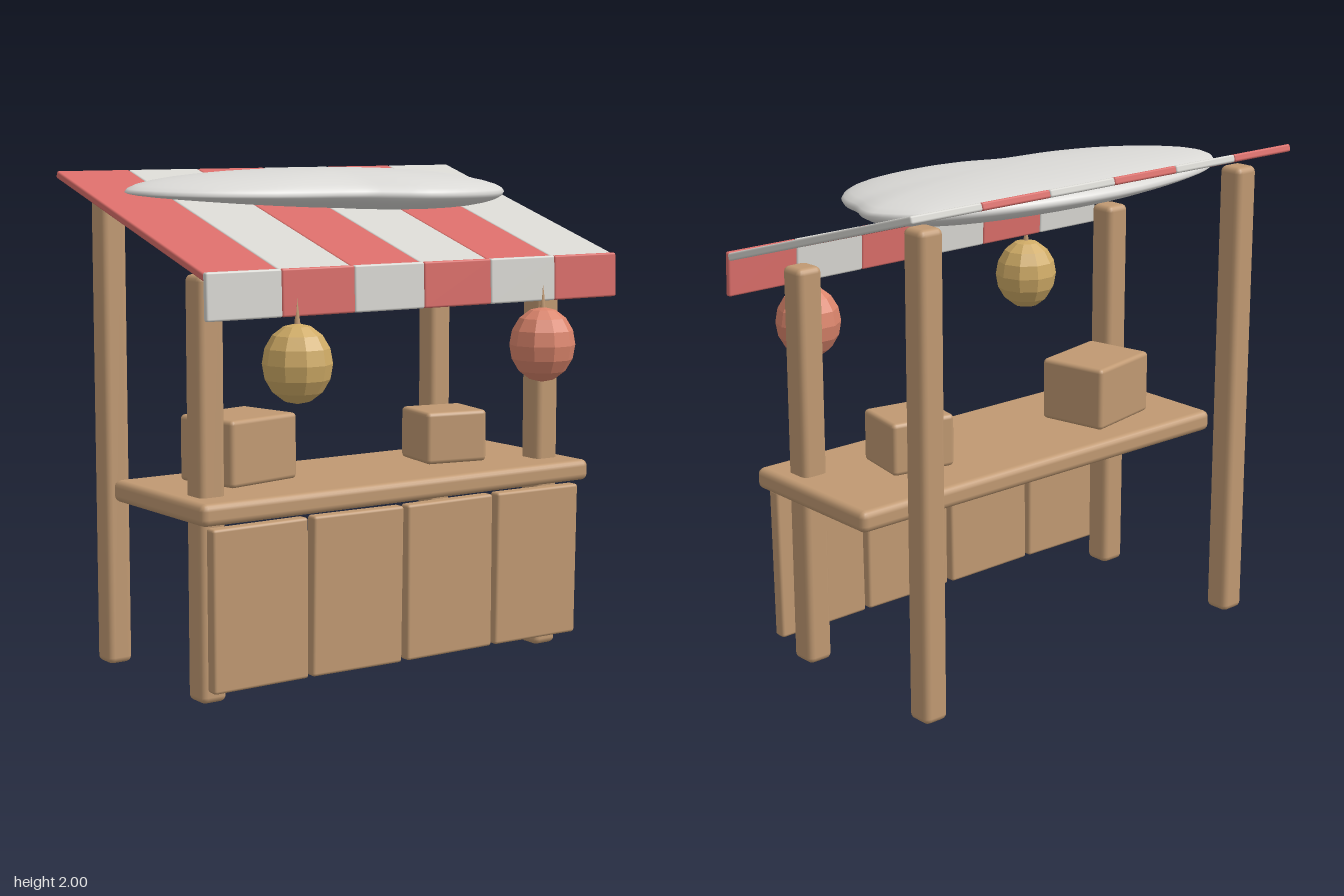
import * as THREE from 'three';
import { RoundedBoxGeometry } from 'three/addons/geometries/RoundedBoxGeometry.js';

function mat(name, color, extra = {}) {
  const m = new THREE.MeshStandardMaterial({ color, ...extra });
  m.name = name;
  return m;
}

// Closed blob: rings shrink from an outline towards its centre, domed above and below
function snowGeometry() {
  const outline = [
    [-0.855, -0.27], [-0.8, -0.14], [-0.65, -0.02], [-0.4, 0.07], [-0.1, 0.1], [0.02, 0.12],
    [0.12, 0.165], [0.25, 0.22], [0.42, 0.235], [0.6, 0.2], [0.72, 0.1], [0.78, 0], [0.81, -0.1],
    [0.86, -0.2], [0.87, -0.27], [0.8, -0.4], [0.65, -0.5], [0.4, -0.585], [0, -0.64],
    [-0.4, -0.59], [-0.65, -0.5], [-0.8, -0.38],
  ].map(([x, z]) => new THREE.Vector3(x, 0, z));
  const n = 72, rings = 20;
  const pts = new THREE.CatmullRomCurve3(outline, true).getPoints(n).slice(0, n);
  const cx = 0.05, cz = -0.2, pos = [], idx = [];
  for (let j = 0; j <= rings; j++) {
    const a = -Math.PI / 2 + (Math.PI * j) / rings;
    const r = Math.max(Math.cos(a), 0.0001), s = Math.sin(a);
    for (const p of pts) {
      const x = cx + (p.x - cx) * r, z = cz + (p.z - cz) * r;
      const depth = s > 0 ? 0.087 : 0.07 + 0.04 * x;
      pos.push(x, 1.905 - 0.04 * z + s * depth, z);
    }
  }
  for (let j = 0; j < rings; j++) {
    for (let i = 0; i < n; i++) {
      const a = j * n + i, b = j * n + ((i + 1) % n), c = a + n, d = b + n;
      idx.push(a, b, d, a, d, c);
    }
  }
  const g = new THREE.BufferGeometry();
  g.setAttribute('position', new THREE.Float32BufferAttribute(pos, 3));
  g.setIndex(idx);
  g.computeVertexNormals();
  return g;
}

export function createModel() {
  const model = new THREE.Group();
  model.name = 'marketStall';
  const wood = mat('wood', 0xc09972);
  const red = mat('red cloth', 0xd96d69);
  const white = mat('white cloth', 0xd8d7d2);
  const snow = mat('snow', 0xdad9d6);
  const yellow = mat('yellow lantern', 0xcfab66, { flatShading: true });
  const coral = mat('coral lantern', 0xdb856c, { flatShading: true });

  const add = (name, geometry, material, x, y, z) => {
    const mesh = new THREE.Mesh(geometry, material);
    mesh.name = name;
    mesh.position.set(x, y, z);
    model.add(mesh);
    return mesh;
  };
  const box = (name, material, size, at, radius) =>
    add(name, new RoundedBoxGeometry(...size, 2, radius), material, ...at);

  // Posts
  for (const side of [-1, 1]) {
    box('frontPost', wood, [0.112, 1.63, 0.115], [side * 0.815, 0.815, 0.232], 0.025);
    box('backPost', wood, [0.108, 1.91, 0.11], [side * 0.815, 0.955, -0.5], 0.025);
  }

  // Counter top and front panels
  box('counterTop', wood, [1.875, 0.087, 0.69], [0, 0.752, 0.068], 0.028);
  [0.006, -0.008, 0.004, -0.007].forEach((tilt, i) => {
    const panel = box('frontPanel', wood, [0.425, 0.63, 0.055],
      [-0.672 + i * 0.448, 0.382, 0.372], 0.012);
    panel.rotation.z = tilt;
    panel.rotation.x = 0.008;
  });

  // Crates standing on the counter
  box('largeCrate', wood, [0.355, 0.262, 0.3], [-0.53, 0.929, 0.01], 0.018).rotation.y = 0.21;
  box('smallCrate', wood, [0.275, 0.214, 0.25], [0.446, 0.903, 0.055], 0.018).rotation.y = -0.18;

  // Striped awning with a hanging valance in alternating colours
  for (let i = 0; i < 6; i++) {
    const x = (i - 2.5) * 0.325;
    const stripe = box('awningStripe', i % 2 ? white : red, [0.325, 0.03, 1.18],
      [x, 1.81, -0.068], 0.008);
    stripe.rotation.x = 0.295;
    box('valanceFlap', i % 2 ? red : white, [0.325, 0.178, 0.025],
      [x, 1.57, 0.503], 0.008).rotation.x = -0.03;
  }

  // Hanging lanterns with hooks
  for (const side of [-1, 1]) {
    const lantern = add('lantern', new THREE.SphereGeometry(0.132, 10, 8),
      side < 0 ? yellow : coral, side * 0.587, 1.307, 0.516);
    lantern.scale.y = 1.14;
    add('lanternHook', new THREE.ConeGeometry(0.012, 0.1, 6), wood, side * 0.587, 1.5, 0.516);
  }

  // Snow lying on the awning
  add('snowCap', snowGeometry(), snow, 0, 0, 0);
  return model;
}
